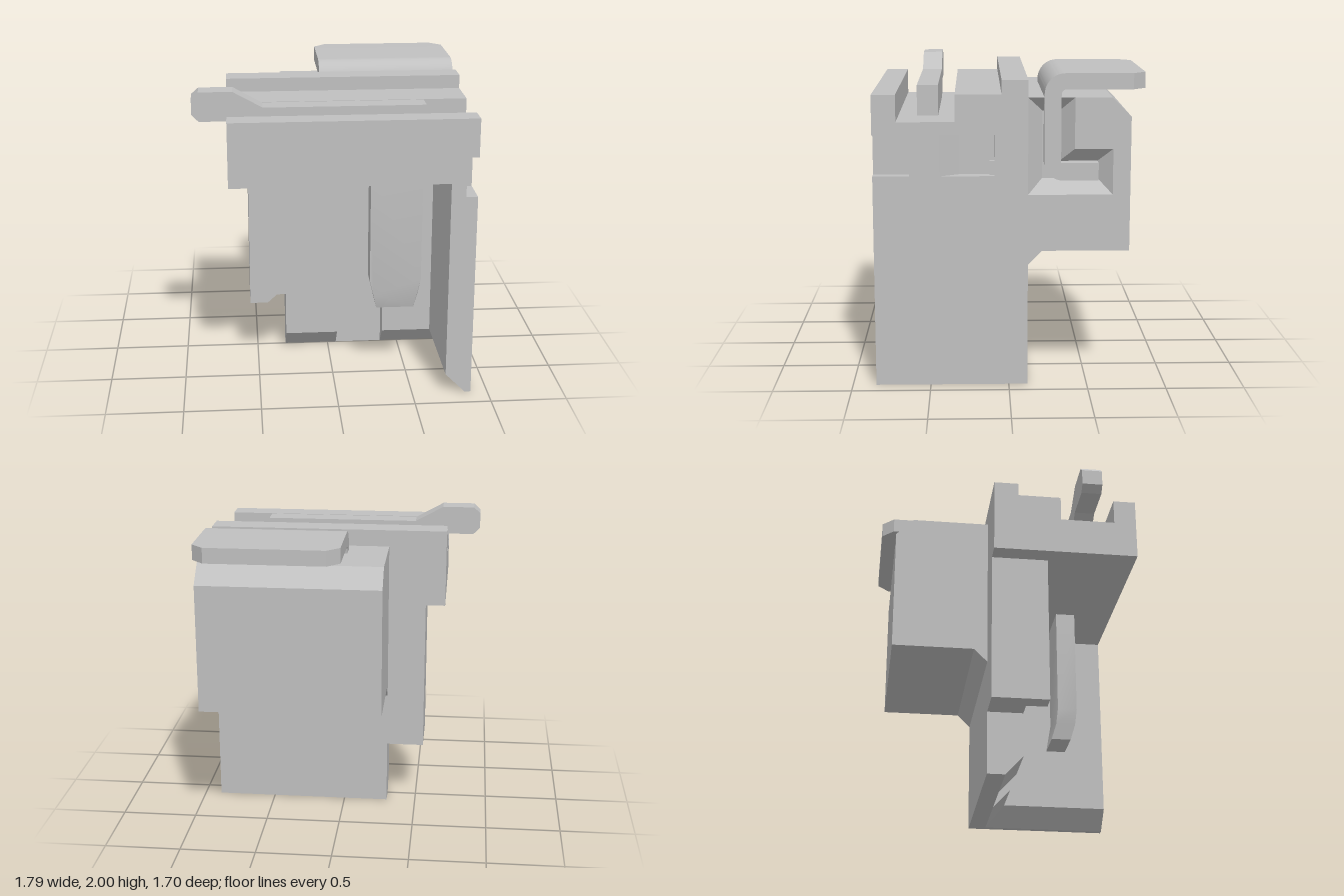
import * as THREE from 'three';
import { toCreasedNormals } from 'three/addons/utils/BufferGeometryUtils.js';

const grey = new THREE.MeshStandardMaterial({ color: 0xc0c0c0 });
grey.name = 'plainGrey';

const makeShape = (pts) => new THREE.Shape(pts.map(([a, b]) => new THREE.Vector2(a, b)));
const extrude = (shape, depth) =>
  new THREE.ExtrudeGeometry(shape, { depth, bevelEnabled: false, curveSegments: 10 });

// outline in (x, y), pushed along z
const alongZ = (pts, z0, z1) => extrude(makeShape(pts), z1 - z0).translate(0, 0, z0);
// outline in (-z, y), pushed along x
const alongX = (shape, x0, x1) => extrude(shape, x1 - x0).rotateY(Math.PI / 2).translate(x0, 0, 0);
// outline in (x, -z), pushed along y
const alongY = (pts, y0, y1) =>
  extrude(makeShape(pts), y1 - y0).rotateX(-Math.PI / 2).translate(0, y0, 0);
const box = (x0, x1, y0, y1, z0, z1) =>
  new THREE.BoxGeometry(x1 - x0, y1 - y0, z1 - z0)
    .translate((x0 + x1) / 2, (y0 + y1) / 2, (z0 + z1) / 2);

// Sloped walls joining an outer loop at x0 to an inner loop at x1, loops in (-z, y)
function taperedWalls(outer, inner, x0, x1) {
  const pos = [];
  outer.forEach((a, i) => {
    const j = (i + 1) % outer.length;
    const A = [x0, a[1], -a[0]], B = [x0, outer[j][1], -outer[j][0]];
    const C = [x1, inner[j][1], -inner[j][0]], D = [x1, inner[i][1], -inner[i][0]];
    pos.push(...A, ...B, ...C, ...A, ...C, ...D);
  });
  const g = new THREE.BufferGeometry();
  g.setAttribute('position', new THREE.Float32BufferAttribute(pos, 3));
  g.computeVertexNormals();
  return g;
}

export function createModel() {
  const model = new THREE.Group();
  model.name = 'latchingHousing';
  const add = (name, geometry) => {
    const mesh = new THREE.Mesh(toCreasedNormals(geometry, 0.5), grey);
    mesh.name = name;
    model.add(mesh);
  };

  const R = 0.89, SKIN = 0.815, FLOOR = 0.8;

  // Stepped head with the lever groove
  const steps = [[0.12, 1.96], [-0.045, 1.96], [-0.045, 1.87], [-0.335, 1.87],
    [-0.335, 1.7], [-0.7, 1.7], [-0.7, 1.87], [-0.85, 1.87]];
  add('head', alongX(makeShape([[-0.85, 1.45], [0.12, 1.45], ...steps]), -0.68, SKIN));

  // Side wall: core, outer skin with two windows, chamfered foot
  add('sideWall', box(0.72, SKIN, 0.13, 1.45, -0.12, 0.85));
  const skin = makeShape([[-0.85, 0.13], [0.12, 0.13], ...steps,
    [-0.85, 1.62], [-0.62, 1.62], [-0.62, 1.36], [-0.85, 1.36]]);
  skin.holes.push(makeShape([[-0.43, 1.36], [-0.43, 1.62], [-0.09, 1.62], [-0.09, 1.36]]));
  add('sideWallSkin', alongX(skin, SKIN, R));
  add('windowRamp', alongY([[SKIN, -0.43], [R, -0.43], [SKIN, -0.31]], 1.36, 1.62));
  add('sideWallFoot', alongZ([[0.72, 0.13], [0.85, 0], [R, 0], [R, 0.13]], -0.12, 0.85));

  // Back panel, split by a vertical channel
  for (const [x0, x1] of [[-0.3, 0.06], [0.38, 0.85]]) {
    add('backPanel', alongX(makeShape([[0.12, 0], [0, 0], [-0.12, 0.13], [-0.12, 1.45], [0.12, 1.45]]), x0, x1));
  }
  add('channelFloor', box(0.06, 0.38, 0, 1.45, -0.12, 0));

  // Outer post
  add('postBase', box(-0.55, -0.3, 0.43, 1.45, -0.12, 0.12));
  add('postFront', alongZ([[-0.55, 0.43], [-0.43, 0.43], [-0.3, 0.55], [-0.3, 1.45], [-0.55, 1.45]], 0.12, 0.26));

  // Hanging tongue, its tip curving backwards
  const tongue = alongZ([[0.24, 1.45], [0.24, 0.7], [0.265, 0.595], [0.29, 0.49],
    [0.54, 0.49], [0.56, 0.595], [0.58, 0.7], [0.58, 1.45]], 0.445, 0.58);
  const p = tongue.attributes.position;
  for (let i = 0; i < p.count; i++) {
    const t = Math.max(0, (0.7 - p.getY(i)) / 0.21);
    p.setZ(i, p.getZ(i) - 0.04 * t * t);
  }
  tongue.computeVertexNormals();
  add('tongue', tongue);

  // Lever lying in the groove
  add('lever', alongZ([[0.59, 1.7], [0.59, 1.895], [-0.45, 1.895], [-0.64, 2], [-0.855, 2],
    [-0.9, 1.96], [-0.9, 1.855], [-0.855, 1.81], [-0.6, 1.81], [-0.45, 1.7]], 0.445, 0.58));

  // Rear box with gusset and chamfered top edge
  const under = [[0.12, 0.79], [0.21, 0.88], [0.76, 0.88], [0.76, 1.73], [0.64, 1.85]];
  add('rearBox', alongX(makeShape([...under, [0.12, 1.85]]), -0.3, FLOOR));

  // Tapered L-shaped pocket in the side of the rear box
  const outer = [[0.12, 1.24], [0.65, 1.24], [0.65, 1.53], [0.41, 1.53], [0.41, 1.85], [0.12, 1.85]];
  const inner = [[0.21, 1.33], [0.56, 1.33], [0.56, 1.44], [0.32, 1.44], [0.32, 1.76], [0.21, 1.76]];
  add('rearBoxSide', alongX(makeShape([...under, ...outer.slice(1, 5).reverse(), outer[0]]), FLOOR, R));
  add('pocketWalls', taperedWalls(outer, inner, R, FLOOR));
  add('pocketTop', new THREE.PlaneGeometry(R - FLOOR, 0.29).rotateX(-Math.PI / 2)
    .translate((R + FLOOR) / 2, 1.85, -0.265));

  // Bent plate rising from the pocket and folding backwards
  const bent = new THREE.Shape();
  bent.moveTo(0.77, 2);
  bent.lineTo(0.35, 2);
  bent.absarc(0.35, 1.87, 0.13, Math.PI / 2, Math.PI, false);
  bent.lineTo(0.22, 1.45);
  bent.absarc(0.34, 1.45, 0.12, Math.PI, Math.PI * 1.5, false);
  bent.lineTo(0.56, 1.33);
  bent.lineTo(0.56, 1.44);
  bent.lineTo(0.325, 1.44);
  bent.lineTo(0.325, 1.87);
  bent.absarc(0.355, 1.87, 0.03, Math.PI, Math.PI / 2, true);
  bent.lineTo(0.77, 1.9);
  add('bentPlate', alongX(bent, -0.04, R));
  add('bentPlateEnd', alongY([[-0.04, 0.77], [R, 0.77], [0.81, 0.85], [0.04, 0.85]], 1.9, 2));

  return model;
}
